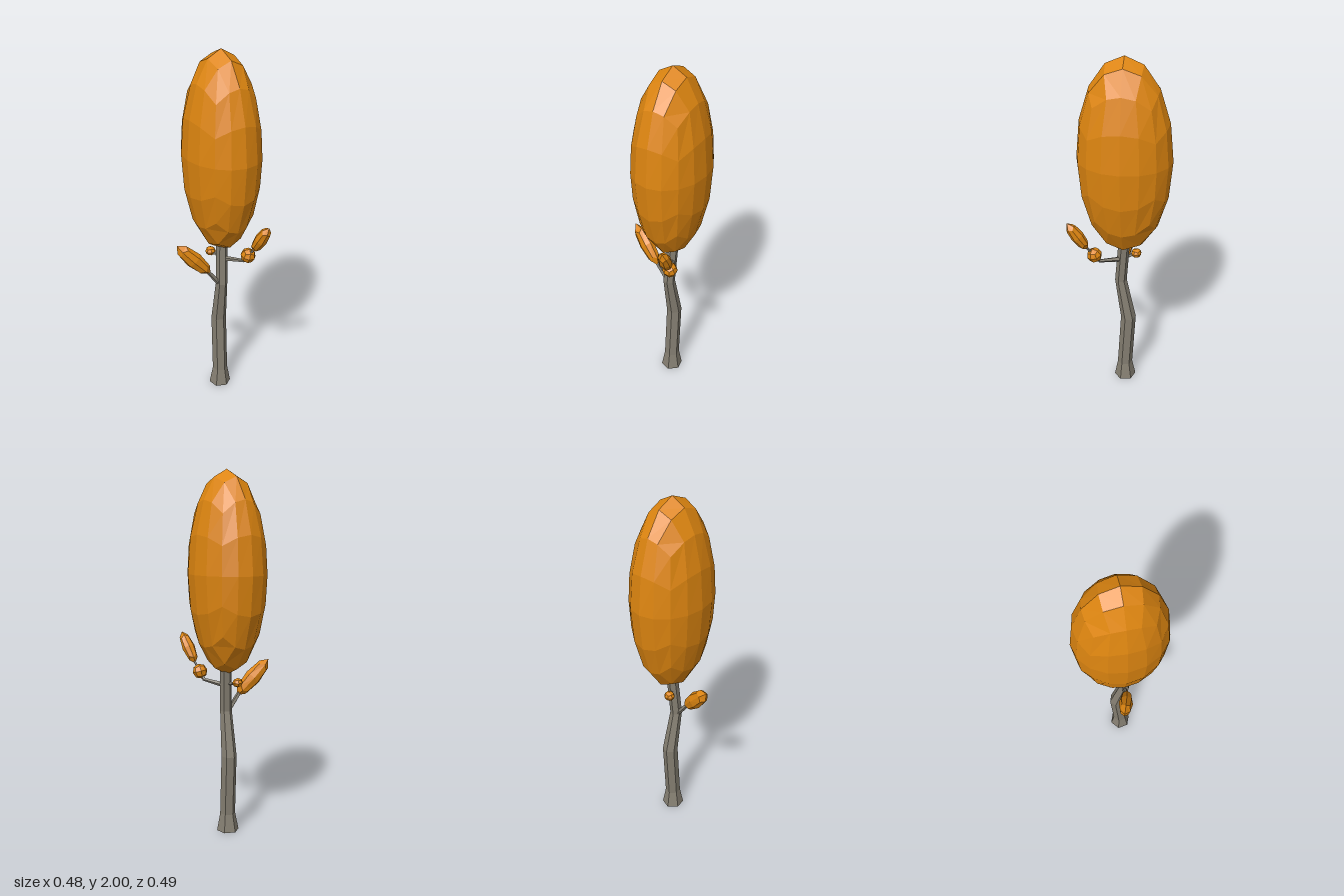
import * as THREE from 'three';

const UP = new THREE.Vector3(0, 1, 0);
const vec = (p) => new THREE.Vector3(...p);

const foliage = new THREE.MeshStandardMaterial({ color: 0xdd8510, flatShading: true });
foliage.name = 'autumn orange';
const bark = new THREE.MeshStandardMaterial({ color: 0x857f72, flatShading: true });
bark.name = 'grey bark';

// Faceted ball: a subdivided box pushed out to an ellipsoid
function leafBall(name, segments, radii, centre, axis = [0, 1, 0]) {
  const geometry = new THREE.BoxGeometry(2, 2, 2, segments, segments, segments);
  const pos = geometry.attributes.position;
  const v = new THREE.Vector3();
  for (let i = 0; i < pos.count; i++) {
    v.fromBufferAttribute(pos, i);
    v.set(...v.toArray().map((c) => Math.tan(c * Math.PI / 4))).normalize();
    pos.setXYZ(i, v.x * radii[0], v.y * radii[1], v.z * radii[2]);
  }
  geometry.computeVertexNormals();
  const mesh = new THREE.Mesh(geometry, foliage);
  mesh.name = name;
  mesh.position.set(...centre);
  mesh.quaternion.setFromUnitVectors(UP, vec(axis).normalize());
  return mesh;
}

// Tapered twig between two points
function twig(name, from, to, r0, r1) {
  const a = vec(from), b = vec(to);
  const dir = b.clone().sub(a);
  const mesh = new THREE.Mesh(new THREE.CylinderGeometry(r1, r0, dir.length(), 5), bark);
  mesh.name = name;
  mesh.position.copy(a).add(b).multiplyScalar(0.5);
  mesh.quaternion.setFromUnitVectors(UP, dir.normalize());
  return mesh;
}

// Crooked six-sided trunk; each ring is x, y, z, radius
function makeTrunk() {
  const rings = [
    [0.007, 0, 0, 0.062],
    [0.008, 0.1, 0, 0.043],
    [0.004, 0.44, -0.02, 0.043],
    [0.012, 0.69, 0.024, 0.033],
    [0.017, 0.95, 0, 0.032],
  ];
  const geometry = new THREE.CylinderGeometry(1, 1, rings.length - 1, 6, rings.length - 1);
  geometry.rotateY(Math.PI / 6);
  const pos = geometry.attributes.position;
  for (let i = 0; i < pos.count; i++) {
    const [x, y, z, r] = rings[Math.round(pos.getY(i) + (rings.length - 1) / 2)];
    pos.setXYZ(i, x + pos.getX(i) * r, y, z + pos.getZ(i) * r);
  }
  geometry.computeVertexNormals();
  const mesh = new THREE.Mesh(geometry, bark);
  mesh.name = 'trunk';
  return mesh;
}

export function createModel() {
  const tree = new THREE.Group();
  tree.name = 'tree';

  // Main crown, wider along one turned axis
  const crown = leafBall('crown', 4, [0.2, 0.55, 0.253], [0.012, 1.45, 0]);
  crown.rotation.y = 0.35;

  tree.add(
    makeTrunk(),
    crown,
    // Right side branch and its long tuft
    twig('rightBranch', [0.005, 0.68, 0.024], [-0.09, 0.81, 0.055], 0.015, 0.011),
    leafBall('rightTuft', 2, [0.047, 0.135, 0.04], [-0.148, 0.866, 0.057], [-0.175, 0.185, 0.015]),
    // Left front branch with a round tuft and a raised one
    twig('leftBranch', [0.02, 0.838, 0.01], [0.125, 0.858, 0.1], 0.015, 0.009),
    twig('leftBranchBend', [0.12, 0.855, 0.096], [0.14, 0.9, 0.12], 0.01, 0.008),
    twig('leftBranchTip', [0.14, 0.9, 0.12], [0.175, 0.97, 0.165], 0.008, 0.006),
    leafBall('leftRoundTuft', 2, [0.042, 0.042, 0.042], [0.14, 0.9, 0.12], [0.2, 1, 0.2]),
    leafBall('leftTuft', 2, [0.036, 0.1, 0.036], [0.192, 1.026, 0.193], [0.06, 0.165, 0.085]),
    // Small tuft behind the trunk
    twig('backTwig', [0.015, 0.845, 0], [-0.04, 0.86, -0.045], 0.011, 0.008),
    leafBall('backTuft', 2, [0.03, 0.026, 0.03], [-0.038, 0.86, -0.047]),
  );
  return tree;
}
